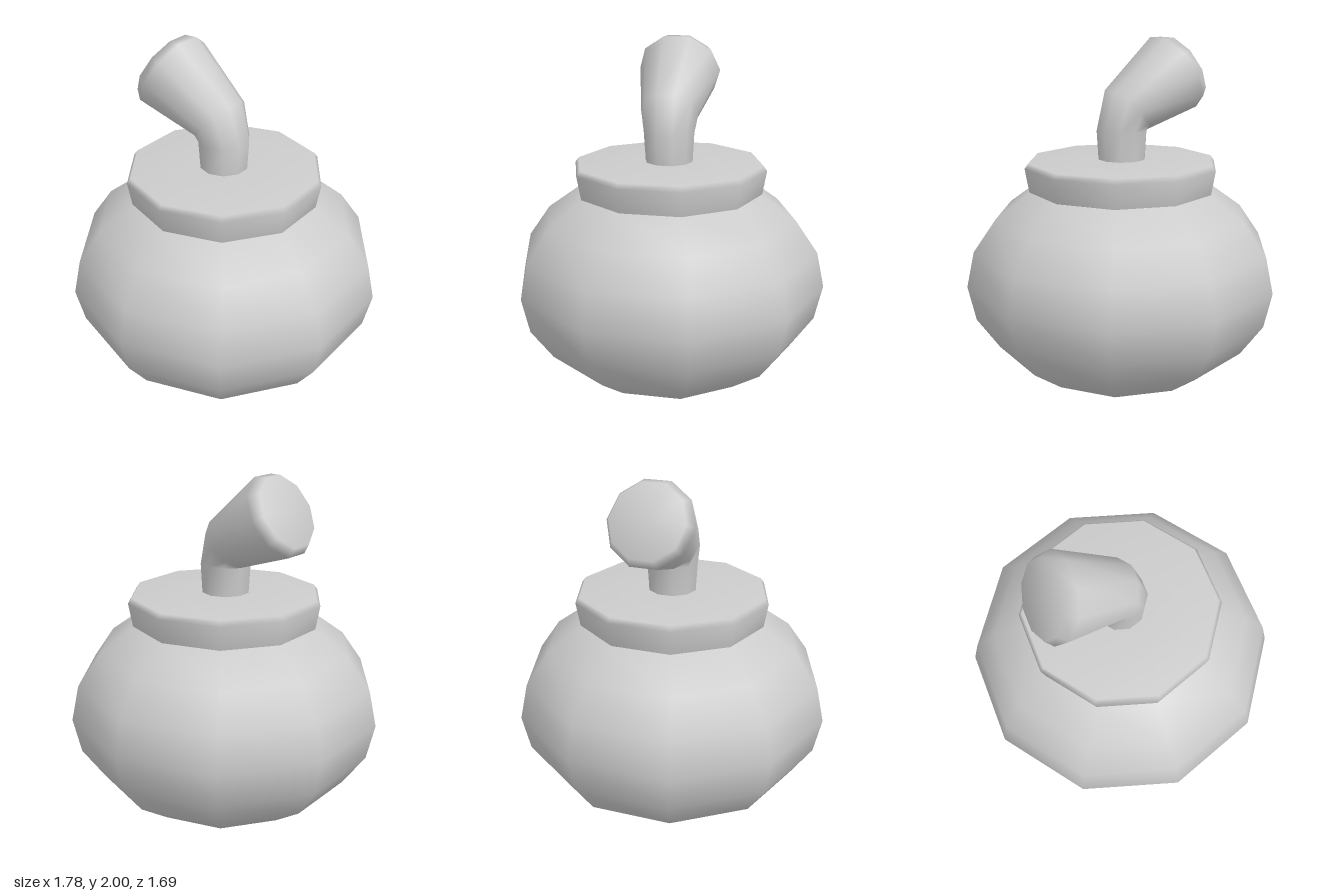
import * as THREE from 'three';

const SIDES = 10;
const material = new THREE.MeshStandardMaterial({ color: 0xcccccc });

// Skin a stack of ten-sided rings and close the top.
// Each ring: centre x, y, z, radius, tilt towards the back (radians).
function loft(rings) {
  const positions = [], index = [];
  for (const [x, y, z, r, tilt] of rings) {
    for (let j = 0; j < SIDES; j++) {
      const t = (j / SIDES) * Math.PI * 2, s = r * Math.sin(t);
      positions.push(x + r * Math.cos(t), y + s * Math.sin(tilt), z + s * Math.cos(tilt));
    }
  }
  for (let i = 0; i < rings.length - 1; i++) {
    for (let j = 0; j < SIDES; j++) {
      const k = (j + 1) % SIDES;
      const a = i * SIDES + j, b = i * SIDES + k;
      const c = a + SIDES, d = b + SIDES;
      index.push(a, c, b, b, c, d);
    }
  }
  // Top cap
  const last = (rings.length - 1) * SIDES, centre = positions.length / 3;
  positions.push(...rings[rings.length - 1].slice(0, 3));
  for (let j = 0; j < SIDES; j++) index.push(centre, last + (j + 1) % SIDES, last + j);

  const geometry = new THREE.BufferGeometry();
  geometry.setAttribute('position', new THREE.Float32BufferAttribute(positions, 3));
  geometry.setIndex(index);
  geometry.computeVertexNormals();
  return geometry;
}

function addPart(group, name, geometry) {
  const mesh = new THREE.Mesh(geometry, material);
  mesh.name = name;
  group.add(mesh);
  return mesh;
}

export function createModel() {
  const group = new THREE.Group();
  group.name = 'roundPotWithBentFuse';

  // Squashed round body, open where the collar sits
  const sphere = new THREE.SphereGeometry(1, SIDES, 8, 0, Math.PI * 2, Math.PI * 0.2, Math.PI * 0.8);
  sphere.scale(0.89, 0.645, 0.89);
  addPart(group, 'body', sphere).position.y = 0.648;

  // Flared collar with a small bevel and a nearly flat top
  addPart(group, 'collar', loft([
    [0, 1.17, 0, 0.515, 0],
    [0, 1.171, 0, 0.527, 0],
    [0, 1.305, 0, 0.55, 0],
    [0, 1.333, 0, 0.53, 0],
    [0, 1.338, 0, 0.19, 0],
  ]));

  // Fuse that bends backwards and widens to a bevelled end
  addPart(group, 'fuse', loft([
    [-0.002, 1.33, -0.003, 0.134, 0],
    [-0.003, 1.5, -0.003, 0.144, 0],
    [-0.004, 1.61, -0.033, 0.163, 0.8],
    [-0.008, 1.803, -0.355, 0.24 * 0.99, 1.05],
    [-0.008, 1.83, -0.405, 0.205, 1.06],
  ]));

  return group;
}
